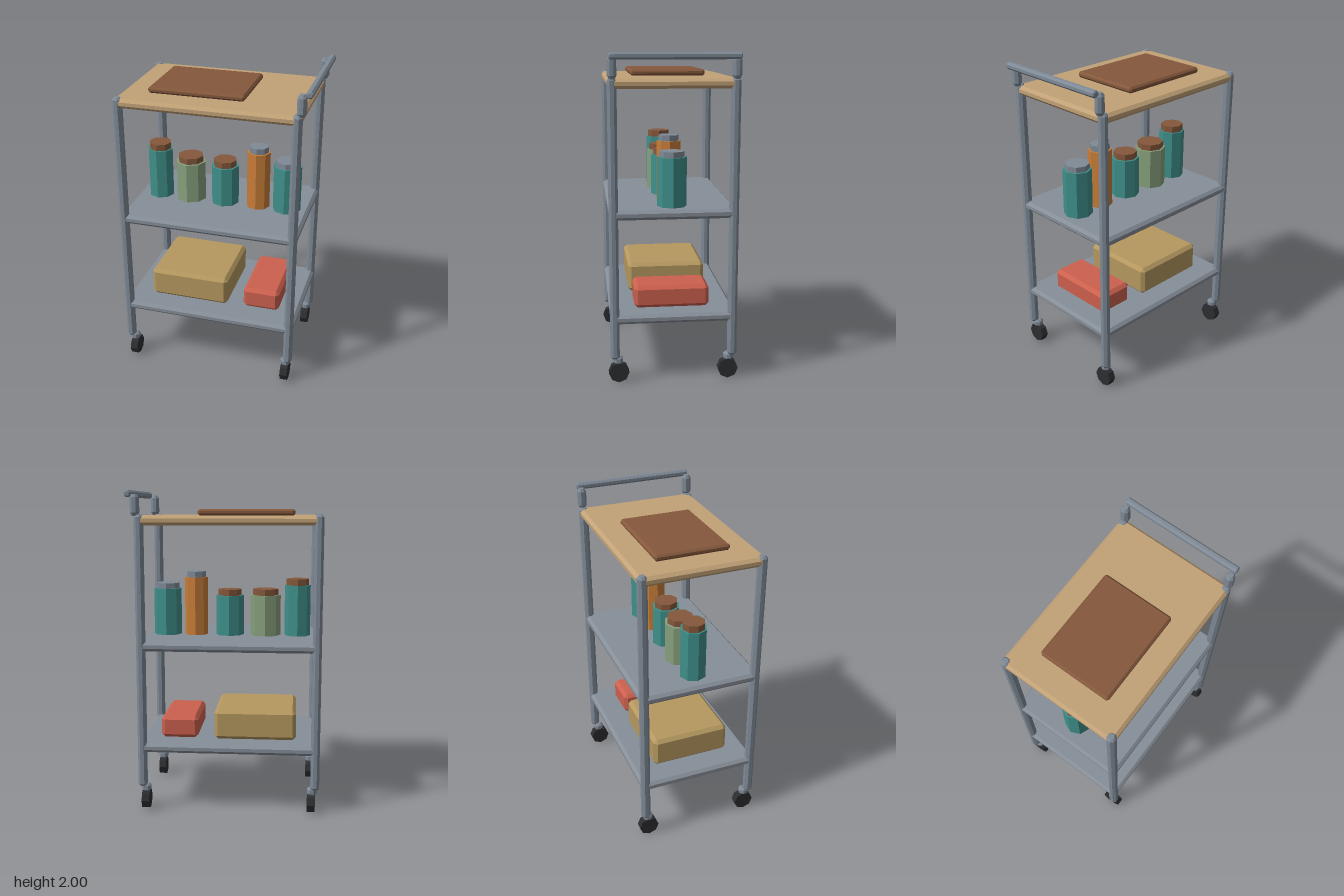
import * as THREE from 'three';
import { ConvexGeometry } from 'three/addons/geometries/ConvexGeometry.js';

const mat = (color) => new THREE.MeshStandardMaterial({ color, flatShading: true });
const METAL = mat(0x7f8a96), SHELF = mat(0x868e98), WOOD = mat(0xc2a277), RUBBER = mat(0x2c2d30);
const BROWN = mat(0x85583c), TEAL = mat(0x3f908b), SAGE = mat(0x87a07c), ORANGE = mat(0xc87d38);
const RED = mat(0xcc604e), TAN = mat(0xb5985f);

// Box with chamfered edges, given by its centre in x and its base height
function chamferBox(w, h, d, c) {
  const half = [w / 2, h / 2, d / 2], points = [];
  for (const sx of [-1, 1]) for (const sy of [-1, 1]) for (const sz of [-1, 1])
    for (let axis = 0; axis < 3; axis++) {
      const p = half.map((v, i) => (i === axis ? v : v - c));
      points.push(new THREE.Vector3(p[0] * sx, p[1] * sy, p[2] * sz));
    }
  return new ConvexGeometry(points);
}

// Eight-sided rod with chamfered ends, flats facing the axes
function rod(r, length, c) {
  const h = length / 2;
  const profile = [[0, -h], [r * 0.6, -h], [r, -h + c], [r, h - c], [r * 0.6, h], [0, h]];
  return new THREE.LatheGeometry(profile.map(([x, y]) => new THREE.Vector2(x, y)), 8).rotateY(Math.PI / 8);
}

export function createModel() {
  const group = new THREE.Group();
  const add = (name, geometry, material, x, y, z = 0) => {
    const mesh = new THREE.Mesh(geometry, material);
    mesh.name = name;
    mesh.position.set(x, y, z);
    group.add(mesh);
    return mesh;
  };

  // Shelves
  const shelf = chamferBox(1.134, 0.058, 0.772, 0.018);
  add('lowerShelf', shelf, SHELF, -0.029, 0.406);
  add('middleShelf', shelf, SHELF, -0.029, 1.051);
  add('topShelf', shelf, WOOD, -0.029, 1.82);

  // Posts and casters at the four corners
  const post = rod(0.03, 1.7, 0.015);
  const neck = rod(0.032, 0.05, 0.012);
  const wheel = new THREE.CylinderGeometry(0.063, 0.063, 0.048, 8).rotateZ(Math.PI / 2);
  for (const sx of [-1, 1]) for (const sz of [-1, 1]) {
    add('post', post, METAL, -0.029 + sx * 0.542, 1.005, sz * 0.361);
    add('casterNeck', neck, METAL, -0.029 + sx * 0.524, 0.14, sz * 0.342);
    add('casterWheel', wheel, RUBBER, -0.027 + sx * 0.522, 0.063, sz * 0.338);
  }

  // Push handle
  for (const sz of [-1, 1]) add('handleUpright', rod(0.029, 0.13, 0.02), METAL, 0.535, 1.912, sz * 0.361);
  add('handleBar', rod(0.0225, 0.76, 0.006).rotateX(Math.PI / 2), METAL, 0.577, 1.979);

  // Serving board on the top shelf
  add('board', chamferBox(0.6, 0.038, 0.46, 0.012), BROWN, -0.129, 1.868);

  // Jars: x, radius, body top, lid radius, lid top, body and lid materials
  const base = 1.08;
  for (const [x, r, top, lidR, lidTop, body, lid] of [
    [-0.45, 0.083, 1.405, 0.072, 1.446, TEAL, BROWN],
    [-0.243, 0.098, 1.34, 0.083, 1.379, SAGE, BROWN],
    [-0.012, 0.09, 1.337, 0.075, 1.376, TEAL, BROWN],
    [0.208, 0.075, 1.453, 0.062, 1.49, ORANGE, METAL],
    [0.396, 0.09, 1.38, 0.077, 1.415, TEAL, METAL],
  ]) {
    add('jar', new THREE.CylinderGeometry(r, r, top - base, 8), body, x, (top + base) / 2);
    add('jarLid', new THREE.CylinderGeometry(lidR, lidR, lidTop - top, 8), lid, x, (top + lidTop) / 2);
  }

  // Boxes on the lower shelf
  add('largeBox', chamferBox(0.52, 0.191, 0.5, 0.022), TAN, -0.19, 0.5305);
  add('smallBox', chamferBox(0.238, 0.14, 0.465, 0.022), RED, 0.294, 0.505);

  return group;
}
